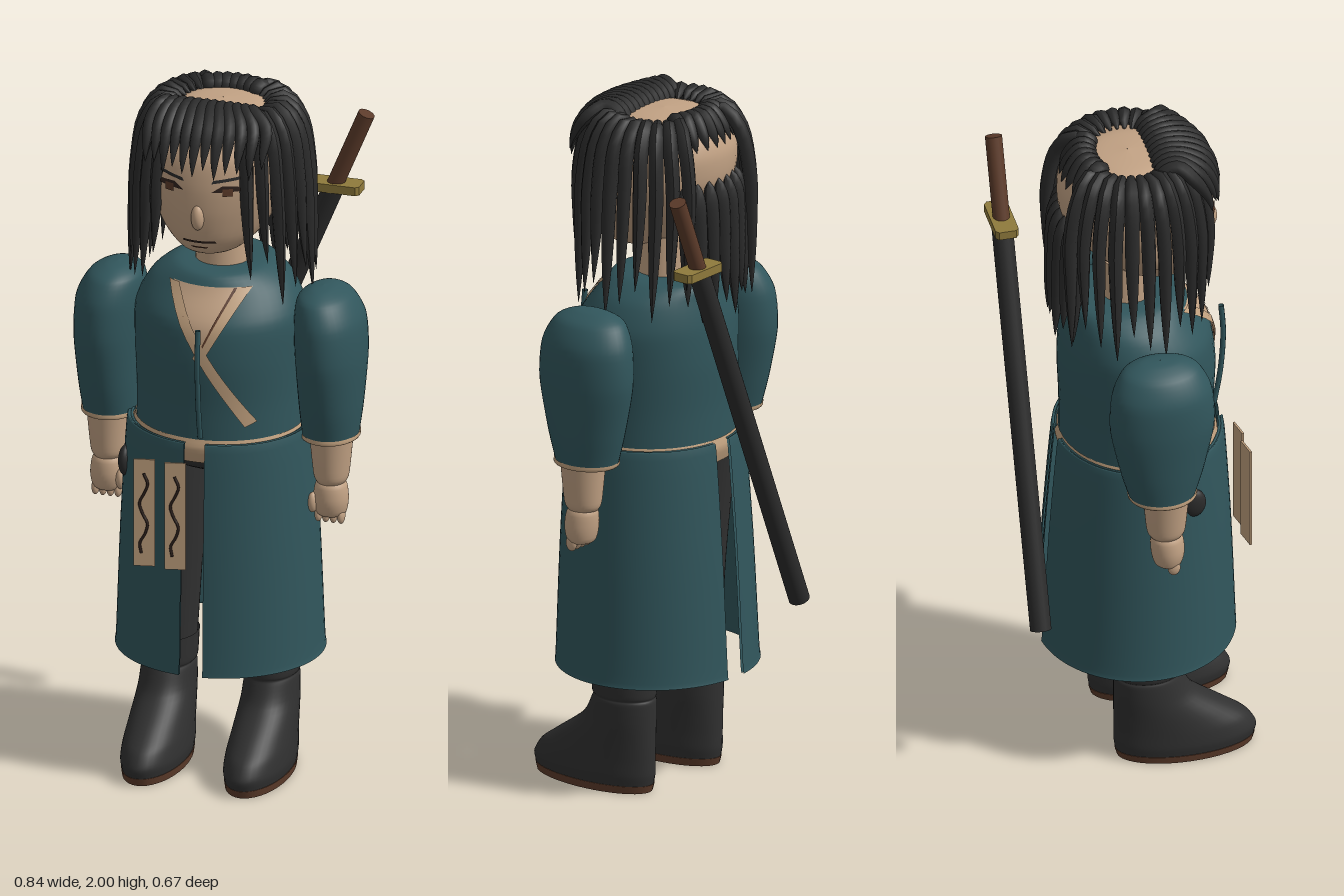
import * as THREE from 'three';

const mat = (name, color) => Object.assign(new THREE.MeshStandardMaterial({ color, side: THREE.DoubleSide }), { name });
const M = {
  hair: mat('hair black', 0x2b2b2b), cloth: mat('teal cloth', 0x31565c), skin: mat('skin', 0xc2a284),
  trim: mat('tan trim', 0xc0a07e), boot: mat('boot black', 0x303030), brown: mat('brown leather', 0x5c3b2a),
  gold: mat('brass', 0x8f7a3c), ink: mat('dark ink', 0x30221d),
};

// rings are [y, rx, rz, cx, cz]; returns them smoothed along a spline
function smooth(rings, n) {
  const a = new THREE.CatmullRomCurve3(rings.map(r => new THREE.Vector3(r[1], r[0], r[2])), false, 'catmullrom', 0.4);
  const b = new THREE.CatmullRomCurve3(rings.map(r => new THREE.Vector3(r[3] || 0, r[0], r[4] || 0)), false, 'catmullrom', 0.4);
  return Array.from({ length: n + 1 }, (_, i) => {
    const p = a.getPoint(i / n), c = b.getPoint(i / n);
    return [p.y, Math.max(p.x, 0.0005), Math.max(p.z, 0.0005), c.x, c.z];
  });
}

// skin over stacked ellipses, from angle t0 to t1 (0 is the front)
function loft(rings, seg = 40, t0 = 0, t1 = Math.PI * 2) {
  const closed = t1 - t0 > 6.28, w = closed ? seg : seg + 1, pos = [], idx = [];
  for (const [y, rx, rz, cx, cz] of rings)
    for (let j = 0; j < w; j++) {
      const t = t0 + (t1 - t0) * j / seg;
      pos.push(cx + rx * Math.sin(t), y, cz + rz * Math.cos(t));
    }
  for (let i = 0; i < rings.length - 1; i++)
    for (let j = 0; j < seg; j++) {
      const a = i * w + j, b = i * w + (j + 1) % w;
      idx.push(a, b, b + w, a, b + w, a + w);
    }
  return toGeometry(pos, idx);
}

function toGeometry(pos, idx) {
  const g = new THREE.BufferGeometry();
  g.setAttribute('position', new THREE.Float32BufferAttribute(pos, 3));
  g.setIndex(idx);
  g.computeVertexNormals();
  return g;
}

// front z of a lofted surface at x, y
function frontZ(rings, x, y) {
  let i = 0;
  while (i < rings.length - 2 && rings[i + 1][0] < y) i++;
  const p = rings[i], q = rings[i + 1];
  const f = THREE.MathUtils.clamp((y - p[0]) / (q[0] - p[0]), 0, 1);
  const [, rx, rz, , cz] = p.map((v, k) => v + (q[k] - v) * f);
  return cz + rz * Math.sqrt(Math.max(0, 1 - (x / rx) ** 2));
}

// thin four-cornered patch (counter-clockwise) laid on a surface
function patch(rings, [a, b, c, d], off, n = 12) {
  const pos = [], idx = [], mix = (p, q, t) => p + (q - p) * t;
  for (let i = 0; i <= n; i++)
    for (let j = 0; j <= n; j++) {
      const u = j / n, v = i / n;
      const x = mix(mix(a[0], b[0], u), mix(d[0], c[0], u), v), y = mix(mix(a[1], b[1], u), mix(d[1], c[1], u), v);
      pos.push(x, y, frontZ(rings, x, y) + off);
      if (i < n && j < n) {
        const k = i * (n + 1) + j;
        idx.push(k, k + 1, k + n + 2, k, k + n + 2, k + n + 1);
      }
    }
  return toGeometry(pos, idx);
}

// tapering lock of hair
function lock(points, r) {
  const curve = new THREE.CatmullRomCurve3(points.map(p => new THREE.Vector3(...p)));
  const n = 18, g = new THREE.TubeGeometry(curve, n, r, 8), P = g.attributes.position, v = new THREE.Vector3();
  for (let i = 0; i <= n; i++) {
    const t = i / n, c = curve.getPointAt(t), k = Math.min(1, Math.sqrt(t * 7)) * (1 - t ** 4) + 0.01;
    for (let j = 0; j <= 8; j++) {
      v.fromBufferAttribute(P, i * 9 + j).sub(c).multiplyScalar(k).add(c);
      P.setXYZ(i * 9 + j, v.x, v.y, v.z);
    }
  }
  g.computeVertexNormals();
  return g;
}

export function createModel() {
  const root = new THREE.Group();
  const add = (name, geo, m, pos = [0, 0, 0], scale = [1, 1, 1]) => {
    const mesh = new THREE.Mesh(geo, m);
    mesh.name = name;
    mesh.position.set(...pos);
    mesh.scale.set(...scale);
    root.add(mesh);
    return mesh;
  };
  const ball = new THREE.SphereGeometry(1, 24, 16);

  // head and neck
  const head = smooth([[1.565, 0.001, 0.001, 0, 0.09], [1.57, 0.08, 0.1, 0, 0.09], [1.62, 0.135, 0.15, 0, 0.075], [1.7, 0.185, 0.195, 0, 0.045],
    [1.78, 0.222, 0.215, 0, 0.025], [1.86, 0.22, 0.21, 0, 0.015], [1.92, 0.175, 0.175, 0, 0.005], [1.955, 0.1, 0.1], [1.965, 0.001, 0.001]], 40);
  add('head', loft(head), M.skin);
  add('neck', new THREE.CylinderGeometry(0.07, 0.08, 0.14, 24), M.skin, [0, 1.53, 0]);
  add('nose', ball, M.skin, [0, 1.695, 0.235], [0.019, 0.038, 0.022]);
  add('mouth', patch(head, [[-0.05, 1.615], [0.05, 1.615], [0.045, 1.622], [-0.045, 1.622]], 0.004), M.ink);
  add('lowerLip', patch(head, [[-0.02, 1.597], [0.02, 1.597], [0.025, 1.602], [-0.025, 1.602]], 0.004), M.brown);
  for (const s of [-1, 1]) {
    add('ear', ball, M.skin, [s * 0.215, 1.74, 0.04], [0.02, 0.045, 0.03]);
    add('iris', patch(head, [[s * 0.085 - 0.014, 1.765], [s * 0.085 + 0.014, 1.765], [s * 0.085 + 0.014, 1.787], [s * 0.085 - 0.014, 1.787]], 0.004), M.brown);
    add('eyelid', patch(head, [[s * 0.04, 1.775], [s * 0.125, 1.78], [s * 0.11, 1.794], [s * 0.07, 1.795]], 0.003), M.ink);
    add('eyebrow', patch(head, [[s * 0.04, 1.8], [s * 0.125, 1.815], [s * 0.12, 1.823], [s * 0.045, 1.81]], 0.003), M.hair);
  }

  // fringe
  for (let i = 0; i < 12; i++) {
    const u = i / 11, x0 = -0.125 + 0.235 * u, x1 = -0.16 + 0.33 * u, e = 1.83 + 0.015 * Math.sin(i * 2.4);
    const dz = 0.35 * x1 * x1 / 0.17;
    add('fringeLock', lock([[x0, 1.945, 0.045], [x0 * 1.1, 1.978, 0.11], [x1, 1.945, 0.205 - dz], [x1 * 1.02, 1.88, 0.245 - dz], [x1 * 1.02, e, 0.257 - dz]], 0.02), M.hair);
  }
  // long side locks
  for (const s of [-1, 1])
    for (let i = 0; i < 11; i++) {
      const a = THREE.MathUtils.degToRad(-56 + i * 11.3), c = s * Math.cos(a), z = Math.sin(a);
      const e = 1.46 + 0.05 * Math.sin(i * 2.1 + s) + (i > 8 ? 0.05 : 0);
      add('sideLock', lock([[c * 0.11, 1.945, z * 0.09], [c * 0.165, 1.965, z * 0.155], [c * 0.215, 1.91, z * 0.205],
        [c * 0.24, 1.78, z * 0.237], [c * 0.25, 1.64, z * 0.238], [c * 0.262, e, z * 0.235]], 0.021), M.hair);
    }
  // short crown locks at the back and the longer row under the bare patch
  for (let i = 0; i < 7; i++) {
    const a = THREE.MathUtils.degToRad(-123 + i * 11), c = Math.cos(a), z = Math.sin(a);
    add('crownLock', lock([[c * 0.11, 1.945, z * 0.085], [c * 0.14, 1.968, z * 0.125], [c * 0.18, 1.93, z * 0.165], [c * 0.2, 1.885, z * 0.19]], 0.021), M.hair);
    add('napeLock', lock([[c * 0.2, 1.8, z * 0.19], [c * 0.225, 1.73, z * 0.205], [c * 0.225, 1.6, z * 0.212],
      [c * 0.235, 1.42 + 0.03 * Math.sin(i * 2.3), z * 0.222]], 0.021), M.hair);
  }

  // jacket body
  const torso = smooth([[1.0, 0.235, 0.215, 0, 0.025], [1.12, 0.235, 0.215, 0, 0.025], [1.25, 0.24, 0.22, 0, 0.025], [1.36, 0.24, 0.21, 0, 0.02],
    [1.44, 0.2, 0.175, 0, 0], [1.485, 0.135, 0.15, 0, -0.01], [1.49, 0.06, 0.06, 0, 0]], 30);
  add('jacket', loft(torso, 48), M.cloth);
  add('chest', patch(torso, [[0, 1.27], [0, 1.27], [0.1, 1.46], [-0.1, 1.46]], 0.003), M.skin);
  add('longLapel', patch(torso, [[0.13, 1.07], [0.16, 1.085], [-0.08, 1.46], [-0.115, 1.46]], 0.009), M.trim);
  add('shortLapel', patch(torso, [[-0.012, 1.275], [0.008, 1.25], [0.125, 1.46], [0.09, 1.46]], 0.006), M.trim);
  for (const s of [-1, 1])
    add('lapelEdge', patch(torso, [[0, 1.28], [0.005, 1.28], [s * 0.088, 1.46], [s * 0.08, 1.46]], 0.008), M.brown);
  add('hangingCord', new THREE.TubeGeometry(new THREE.CatmullRomCurve3([[0.012, 1.37, 0.272], [0.012, 1.28, 0.278], [0.012, 1.15, 0.27], [0.012, 1.04, 0.252]]
    .map(p => new THREE.Vector3(...p))), 16, 0.008, 8), M.cloth);
  add('waistSash', loft(smooth([[0.96, 0.235, 0.215, 0, 0.025], [1.0, 0.246, 0.226, 0, 0.025], [1.03, 0.238, 0.218, 0, 0.025]], 6), 48), M.trim);
  add('hips', loft(smooth([[0.88, 0.1, 0.08, 0, 0.02], [0.92, 0.2, 0.15, 0, 0.02], [1.0, 0.21, 0.18, 0, 0.02]], 8)), M.boot);

  // split skirt
  const skirt = smooth([[0.34, 0.296, 0.28, 0, 0.023], [0.38, 0.292, 0.277, 0, 0.024], [0.7, 0.28, 0.262, 0, 0.027], [1.0, 0.262, 0.241, 0, 0.03], [1.022, 0.25, 0.23, 0, 0.03]], 16);
  const lining = skirt.map(([y, rx, rz, cx, cz]) => [y, rx - 0.008, rz - 0.008, cx, cz]);
  for (const k of [0, Math.PI]) {
    add('skirtPanel', loft(skirt, 36, k + 0.115, k + Math.PI - 0.115), M.cloth);
    add('skirtLining', loft(lining, 36, k + 0.118, k + Math.PI - 0.118), M.cloth);
  }

  for (const s of [-1, 1]) {
    const side = rings => rings.map(([y, rx, rz, cx, cz]) => [y, rx, rz, s * cx, cz]);
    // sleeves, forearms and hands
    add('sleeve', loft(smooth(side([[1.01, 0.079, 0.095, 0.32, 0.02], [1.1, 0.088, 0.12, 0.322, 0.02], [1.24, 0.097, 0.148, 0.323, 0.02], [1.35, 0.096, 0.142, 0.318, 0.02],
      [1.415, 0.075, 0.11, 0.305, 0.02], [1.44, 0.035, 0.06, 0.3, 0.02], [1.446, 0.001, 0.001, 0.3, 0.02]]), 28)), M.cloth);
    add('cuff', loft(smooth(side([[1.0, 0.05, 0.06, 0.32, 0.025], [1.0, 0.081, 0.095, 0.32, 0.022], [1.014, 0.082, 0.098, 0.32, 0.02]]), 6)), M.trim);
    add('forearm', loft(smooth(side([[0.865, 0.04, 0.045, 0.325, 0.03], [0.89, 0.05, 0.055, 0.325, 0.03], [1.01, 0.062, 0.066, 0.325, 0.03]]), 10)), M.skin);
    add('hand', loft(smooth(side([[0.765, 0.001, 0.001, 0.325, 0.035], [0.77, 0.04, 0.036, 0.325, 0.035], [0.81, 0.05, 0.047, 0.325, 0.035],
      [0.855, 0.045, 0.045, 0.325, 0.032], [0.875, 0.03, 0.03, 0.325, 0.03]]), 14)), M.skin);
    for (let i = 0; i < 4; i++)
      add('finger', ball, M.skin, [s * 0.325 + (i - 1.5) * 0.022, 0.768, 0.045], [0.011, 0.024, 0.018]);
    add('thumb', ball, M.skin, [s * 0.28, 0.805, 0.06], [0.014, 0.03, 0.018]);

    // trousers, boots and soles
    add('trouserLeg', loft(smooth(side([[0.3, 0.075, 0.085, 0.15, 0.022], [0.6, 0.09, 0.1, 0.147, 0.02], [0.95, 0.105, 0.14, 0.145, 0.02]]), 10)), M.boot);
    add('boot', loft(smooth(side([[0.02, 0.086, 0.198, 0.15, 0.127], [0.05, 0.09, 0.203, 0.15, 0.127], [0.09, 0.088, 0.19, 0.15, 0.114], [0.13, 0.085, 0.163, 0.15, 0.087],
      [0.2, 0.08, 0.115, 0.15, 0.039], [0.26, 0.076, 0.098, 0.15, 0.022], [0.272, 0.072, 0.094, 0.15, 0.022], [0.285, 0.078, 0.098, 0.15, 0.022], [0.36, 0.083, 0.1, 0.15, 0.022]]), 36)), M.boot);
    add('sole', new THREE.CylinderGeometry(1, 0.97, 0.022, 40), M.brown, [s * 0.15, 0.011, 0.127], [0.088, 1, 0.2]);
  }
  add('sidePouch', ball, M.hair, [-0.243, 0.895, 0.13], [0.02, 0.045, 0.035]);

  // hanging paper tags with brush strokes
  for (const x of [-0.133, -0.043]) {
    const tag = add('paperTag', new THREE.BoxGeometry(0.06, 0.32, 0.006), M.trim, [x, 0.82, 0.308]);
    tag.rotation.y = 0.2;
    const pts = Array.from({ length: 9 }, (_, i) => new THREE.Vector3(x + 0.012 * Math.sin(i * 1.5), 0.94 - i * 0.03, 0.315));
    add('brushStroke', new THREE.TubeGeometry(new THREE.CatmullRomCurve3(pts), 32, 0.004, 6), M.ink);
  }

  // slung sword
  const low = new THREE.Vector3(-0.222, 0.52, -0.303), high = new THREE.Vector3(0.322, 1.835, -0.303);
  const rod = (name, a, b, r, m) => {
    const p = low.clone().lerp(high, a), q = low.clone().lerp(high, b);
    const mesh = add(name, new THREE.CylinderGeometry(r, r, p.distanceTo(q), 20), m, p.clone().add(q).multiplyScalar(0.5).toArray());
    mesh.quaternion.setFromUnitVectors(new THREE.Vector3(0, 1, 0), q.sub(p).normalize());
  };
  rod('scabbard', 0, 0.825, 0.03, M.hair);
  rod('hilt', 0.825, 1, 0.024, M.brown);
  const guard = new THREE.Shape([[-0.076, -0.024], [-0.066, -0.033], [0.066, -0.033], [0.076, -0.024], [0.076, 0.024], [0.066, 0.033], [-0.066, 0.033], [-0.076, 0.024]]
    .map(p => new THREE.Vector2(...p)));
  add('guard', new THREE.ExtrudeGeometry(guard, { depth: 0.025, bevelEnabled: false }), M.gold, [0.232, 1.597, -0.303]).rotation.x = -Math.PI / 2;
  return root;
}
